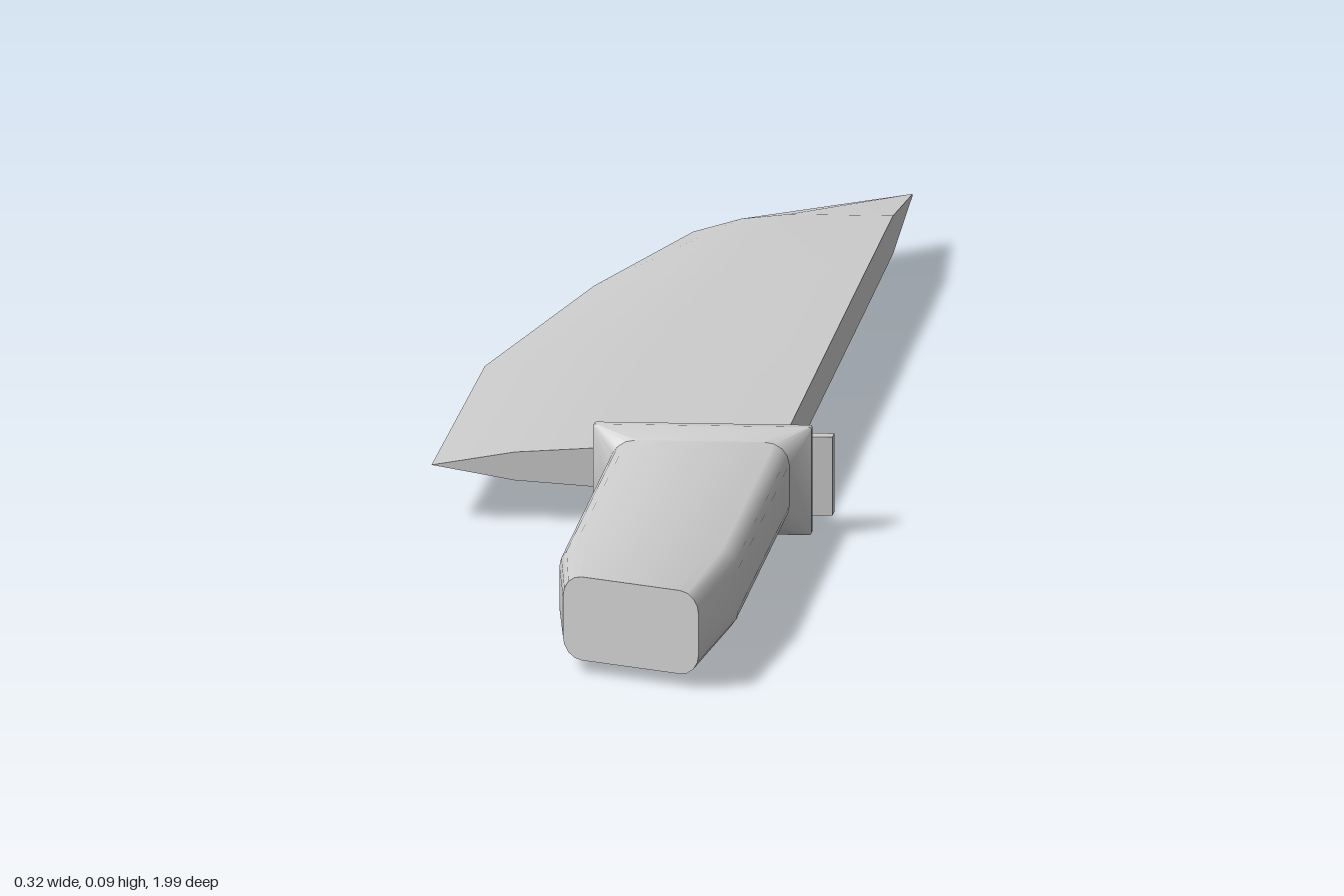
import * as THREE from 'three';
import { toCreasedNormals } from 'three/addons/utils/BufferGeometryUtils.js';

const CX = 0.059, CY = 0.045; // axis of the handle
const material = new THREE.MeshStandardMaterial({ color: 0xcccccc });

// Skin a list of rings (counter-clockwise seen from +z, ordered by rising z) and close both ends
function loft(name, rings, crease) {
  const pos = [], n = rings[0].length;
  const tri = (...pts) => pts.forEach(p => pos.push(p.x, p.y, p.z));
  for (let i = 0; i < rings.length - 1; i++) {
    for (let j = 0; j < n; j++) {
      const k = (j + 1) % n, a = rings[i], b = rings[i + 1];
      tri(a[j], a[k], b[k]);
      tri(a[j], b[k], b[j]);
    }
  }
  const first = rings[0], last = rings[rings.length - 1];
  const centre = r => r.reduce((s, p) => s.add(p), new THREE.Vector3()).divideScalar(n);
  const c0 = centre(first), c1 = centre(last);
  for (let j = 0; j < n; j++) {
    const k = (j + 1) % n;
    tri(c0, first[k], first[j]);
    tri(c1, last[j], last[k]);
  }
  const geo = new THREE.BufferGeometry();
  geo.setAttribute('position', new THREE.Float32BufferAttribute(pos, 3));
  const mesh = new THREE.Mesh(toCreasedNormals(geo, crease), material);
  mesh.name = name;
  return mesh;
}

// Rounded rectangle around the handle axis; slope tilts the ring along x
function ring(z, hx, hy, rx, ry, slope = 0) {
  const pts = [], steps = 4;
  const signs = [[1, 1], [-1, 1], [-1, -1], [1, -1]];
  signs.forEach(([sx, sy], q) => {
    for (let s = 0; s <= steps; s++) {
      const t = (q + s / steps) * Math.PI / 2;
      const x = sx * (hx - rx) + rx * Math.cos(t);
      const y = sy * (hy - ry) + ry * Math.sin(t);
      pts.push(new THREE.Vector3(CX + x, CY + y, z + slope * x));
    }
  });
  return pts;
}

// Blade section: flat spine, thick body, bevel down to the cutting edge
function bladeRing(z, edgeX, half, spineX = 0.116) {
  const side = [[0, 1], [0.52, 1], [0.76, 0.72]];
  const w = edgeX - spineX;
  const at = (f, y) => new THREE.Vector3(spineX + w * f, CY + y * half, z);
  return [
    ...side.map(([f, h]) => at(f, h)),
    at(1, 0),
    ...side.slice().reverse().map(([f, h]) => at(f, -h)),
  ];
}

function box(name, x0, x1, hy, z0, z1) {
  const mesh = new THREE.Mesh(new THREE.BoxGeometry(x1 - x0, hy * 2, z1 - z0), material);
  mesh.position.set((x0 + x1) / 2, CY, (z0 + z1) / 2);
  mesh.name = name;
  return mesh;
}

export function createModel() {
  const knife = new THREE.Group();
  knife.name = 'knife';

  // Blade, from the tip back to the heel
  knife.add(loft('blade', [
    bladeRing(-1, 0.114, 0.0008),
    bladeRing(-0.82, -0.045, 0.0155),
    bladeRing(-0.57, -0.103, 0.016),
    bladeRing(-0.2, -0.159, 0.016),
    bladeRing(0.248, -0.163, 0.016),
  ], 0.35));

  // Grip with a slanted butt
  knife.add(loft('grip', [
    ring(0.3, 0.072, 0.035, 0.02, 0.018),
    ring(0.79, 0.072, 0.035, 0.02, 0.018),
    ring(0.957, 0.058, 0.034, 0.016, 0.018, 0.65),
  ], 0.6));

  // Flared collar between grip and guard
  knife.add(loft('collar', [
    ring(0.268, 0.076, 0.034, 0.003, 0.003),
    ring(0.285, 0.088, 0.044, 0.002, 0.002),
    ring(0.295, 0.088, 0.044, 0.002, 0.002),
    ring(0.316, 0.072, 0.035, 0.02, 0.018),
  ], 0.6));

  // Guard plate with its tab past the spine, and the ledge holding the blade
  knife.add(box('guardPlate', -0.025, 0.162, 0.032, 0.255, 0.272));
  knife.add(box('bladeSeat', -0.025, 0.122, 0.022, 0.247, 0.256));
  return knife;
}
